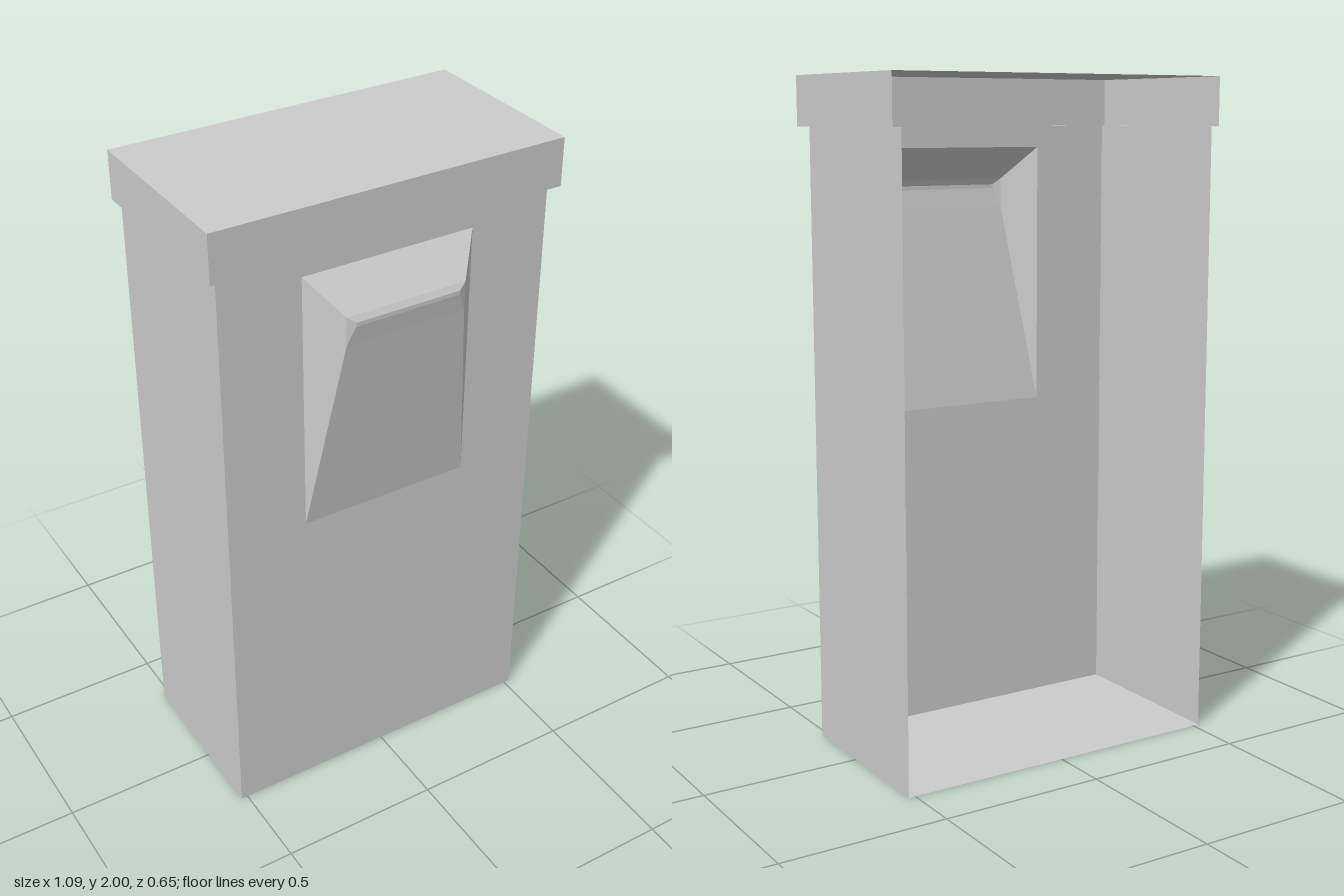
import * as THREE from 'three';

const BACK = -0.325;
const material = new THREE.MeshStandardMaterial({ color: 0xcccccc, side: THREE.DoubleSide });

// Skins a row of equal-length sections with flat quads.
function loft(name, sections, closed) {
  const points = [];
  for (let s = 0; s < sections.length - 1; s++) {
    const lower = sections[s], upper = sections[s + 1], n = lower.length;
    for (let i = 0; i < (closed ? n : n - 1); i++) {
      const j = (i + 1) % n;
      points.push(lower[i], lower[j], upper[j], lower[i], upper[j], upper[i]);
    }
  }
  const geometry = new THREE.BufferGeometry().setFromPoints(points);
  geometry.computeVertexNormals();
  const mesh = new THREE.Mesh(geometry, material);
  mesh.name = name;
  return mesh;
}

// U-shaped section, open to the back.
const uSection = (half, front, y) => [[-half, BACK], [-half, front], [half, front], [half, BACK]]
  .map(([x, z]) => new THREE.Vector3(x, y, z));

// Upright rectangle facing the front.
const rectangle = (half, bottom, top, z) => [[-half, bottom], [half, bottom], [half, top], [-half, top]]
  .map(([x, y]) => new THREE.Vector3(x, y, z));

// Horizontal sheet facing up (or down).
function sheet(name, half, front, y, up) {
  const geometry = new THREE.PlaneGeometry(half * 2, front - BACK);
  geometry.rotateX(up ? -Math.PI / 2 : Math.PI / 2);
  const mesh = new THREE.Mesh(geometry, material);
  mesh.position.set(0, y, (front + BACK) / 2);
  mesh.name = name;
  return mesh;
}

export function createModel() {
  const group = new THREE.Group();
  group.name = 'openBackedCase';
  const bodyHalf = 0.52, bodyFront = 0.225, lidHalf = 0.547, lidFront = 0.25;
  const rim = 1.855, height = 2;

  // Front wall, pressed out into a wedge with softened edges
  group.add(loft('frontWallWithWedge', [
    rectangle(bodyHalf, 0, rim, bodyFront),
    rectangle(0.27, 0.99, 1.79, bodyFront),
    rectangle(0.189, 1.602, 1.69, 0.315),
    rectangle(0.165, 1.66, 1.672, 0.325),
    rectangle(0.165, 1.666, 1.666, 0.325),
  ], true));

  // Side walls and floor
  const lower = uSection(bodyHalf, bodyFront, 0), upper = uSection(bodyHalf, bodyFront, rim);
  group.add(loft('rightWall', [lower.slice(0, 2), upper.slice(0, 2)], false));
  group.add(loft('leftWall', [lower.slice(2), upper.slice(2)], false));
  group.add(sheet('floor', bodyHalf, bodyFront, 0, false));

  // Overhanging lid: ledge and skirt, then the top
  group.add(loft('lidLedgeAndSkirt', [
    upper,
    uSection(lidHalf, lidFront, rim),
    uSection(lidHalf, lidFront, height),
  ], false));
  group.add(sheet('lidTop', lidHalf, lidFront, height, true));

  return group;
}
